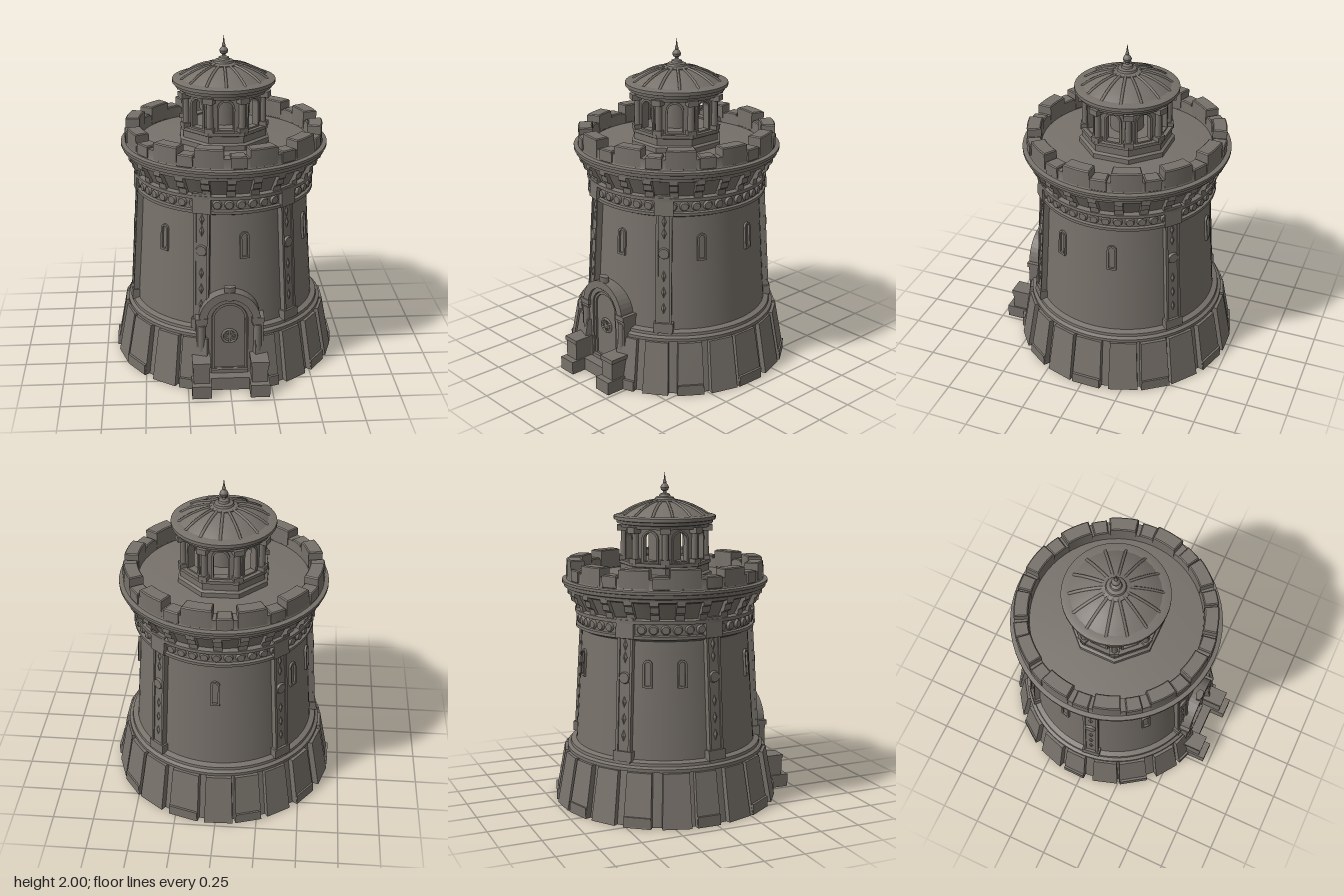
import * as THREE from 'three';
import { toCreasedNormals } from 'three/addons/utils/BufferGeometryUtils.js';

const stone = new THREE.MeshStandardMaterial({ color: 0x77716a });
stone.name = 'weathered stone';
const DEG = Math.PI / 180;

export function createModel() {
  const model = new THREE.Group();
  model.name = 'tower';
  const axis = new THREE.Group();
  axis.name = 'towerBody';
  axis.position.z = -0.04;
  model.add(axis);

  let seed = 7;
  const rand = () => (seed = (seed * 16807) % 2147483647) / 2147483647;

  const add = (name, geo, parent = axis) => {
    const m = new THREE.Mesh(geo, stone);
    m.name = name;
    parent.add(m);
    return m;
  };
  // Turned part from [radius, height] pairs, with crisp edges
  const lathe = (name, pts, segs = 64, start = 0, length = Math.PI * 2, parent = axis) =>
    add(name, toCreasedNormals(new THREE.LatheGeometry(pts.map(p => new THREE.Vector2(...p)), segs, start, length), 0.5), parent);
  // Put a mesh at an angle round the axis (0 = front, 90 = +x), leaning back by tilt
  const place = (m, deg, r, y, tilt = 0) => {
    const a = deg * DEG;
    m.position.set(Math.sin(a) * r, y, Math.cos(a) * r);
    m.rotation.set(-tilt, a, 0, 'YXZ');
    return m;
  };
  const box = (name, w, h, d, x, y, z, parent = axis) => {
    const m = add(name, new THREE.BoxGeometry(w, h, d), parent);
    m.position.set(x, y, z);
    return m;
  };
  // Curved block covering part of a ring
  const arcBlock = (name, r0, r1, y0, y1, mid, span) => {
    const a = (mid - span / 2 - 90) * DEG, b = (mid + span / 2 - 90) * DEG;
    const s = new THREE.Shape();
    s.absarc(0, 0, r1, a, b, false);
    s.absarc(0, 0, r0, b, a, true);
    const g = new THREE.ExtrudeGeometry(s, { depth: y1 - y0 - 0.012, bevelEnabled: true, bevelSize: 0.006, bevelThickness: 0.006, bevelSegments: 1, curveSegments: 6 });
    const m = add(name, g.rotateX(-Math.PI / 2));
    m.position.y = y0 + 0.006;
    return m;
  };
  // Round-headed outline standing on y0, springing at y1
  const archPath = (w, y0, y1, P = THREE.Shape) => {
    const p = new P();
    p.moveTo(-w, y0);
    p.lineTo(w, y0);
    p.lineTo(w, y1);
    p.absarc(0, y1, w, 0, Math.PI, false);
    p.lineTo(-w, y0);
    return p;
  };
  const extrude = (shape, depth) => new THREE.ExtrudeGeometry(shape, { depth, bevelEnabled: false, curveSegments: 10 });

  // Main wall, and the sloping base left open behind the doorway
  lathe('wall', [[0, 0], [0.575, 0], [0.553, 0.36], [0.53, 0.7], [0.506, 1.09]]);
  lathe('base', [[0.5, 0], [0.652, 0], [0.597, 0.315], [0.608, 0.315], [0.608, 0.335], [0.588, 0.345], [0.585, 0.362], [0.553, 0.372]],
    64, 17 * DEG, 326 * DEG);
  const lean = Math.atan(0.06 / 0.32);
  for (let i = 1; i < 20; i++) {
    const w = 0.145 + rand() * 0.05, a = i * 18 + (rand() - 0.5) * 4;
    const g = new THREE.BoxGeometry(w, 0.315, 0.07), p = g.attributes.position;
    for (let k = 0; k < p.count; k++) {
      const up = p.getY(k) > 0;
      if (up) p.setX(k, p.getX(k) * 0.88);
      p.setZ(k, p.getZ(k) + (up ? -0.029 : 0.029));
    }
    g.computeVertexNormals();
    place(add('baseSlab', g), a, 0.612 + rand() * 0.008, 0.158);
    if (i % 2) place(add('baseFoot', new THREE.BoxGeometry(w * 0.96, 0.065, 0.06)), a, 0.652, 0.0325);
  }

  // Ornamented pilasters following the slope of the wall
  const wallLean = Math.atan(0.047 / 0.72);
  for (const a of [-17, 40, 140, 222, 278]) {
    const g = new THREE.Group();
    g.name = 'pilaster';
    axis.add(g);
    place(g, a, 0.532, 0.77, wallLean);
    box('pilasterShaft', 0.09, 0.84, 0.04, 0, 0, 0, g);
    for (const s of [-1, 1]) box('pilasterEdge', 0.015, 0.84, 0.012, s * 0.04, 0, 0.022, g);
    box('pilasterFoot', 0.115, 0.06, 0.06, 0, -0.38, 0.005, g);
    box('pilasterHead', 0.11, 0.12, 0.06, 0, 0.37, 0.01, g);
    const medal = add('pilasterMedallion', new THREE.CylinderGeometry(0.03, 0.036, 0.016, 16).rotateX(Math.PI / 2), g);
    medal.position.set(0, 0.08, 0.026);
    for (const y of [-0.26, -0.16, -0.06, 0.2, 0.27]) {
      const d = add('pilasterCarving', new THREE.OctahedronGeometry(0.02), g);
      d.scale.set(0.7, 1.7, 0.5);
      d.position.set(0, y, 0.02);
    }
  }

  // Slit windows with raised surrounds
  const slit = archPath(0.028, -0.085, 0.05);
  slit.holes.push(archPath(0.016, -0.073, 0.05, THREE.Path));
  const slitGeo = extrude(slit, 0.02);
  for (const a of [-45, 10, 64, 101, 179, 236, 258]) place(add('slitWindow', slitGeo), a, 0.511, 0.88, wallLean);

  // Carved frieze
  lathe('frieze', [[0.5, 1.06], [0.53, 1.075], [0.545, 1.08], [0.545, 1.098], [0.527, 1.102], [0.527, 1.165], [0.548, 1.168], [0.548, 1.188], [0.52, 1.195]]);
  const disc = new THREE.CylinderGeometry(0.022, 0.03, 0.018, 12).rotateX(Math.PI / 2);
  for (let i = 0; i < 48; i++) place(add('friezeDisc', disc), i * 7.5, 0.532, 1.134);

  // Flared gallery, cornice and corbels
  lathe('gallery', [[0.515, 1.19], [0.53, 1.22], [0.565, 1.29], [0.592, 1.3], [0.595, 1.318], [0.613, 1.325], [0.616, 1.345], [0.624, 1.348],
    [0.624, 1.364], [0.59, 1.37], [0, 1.37]]);
  const bracket = new THREE.Shape([[0, 0.02], [0.025, 0], [0.03, 0.04], [0.055, 0.055], [0.062, 0.09], [0.078, 0.1], [0.078, 0.125], [0, 0.125]]
    .map(p => new THREE.Vector2(...p)));
  const corbelGeo = extrude(bracket, 0.05).translate(0, 0, -0.025).rotateY(-Math.PI / 2);
  for (let i = 0; i < 24; i++) place(add('corbel', corbelGeo), i * 15 + 1, 0.515, 1.182);

  // Parapet and merlons
  lathe('parapet', [[0.6, 1.365], [0.592, 1.38], [0.592, 1.43], [0.515, 1.43], [0.51, 1.365]]);
  for (let i = 0; i < 12; i++) {
    arcBlock('merlon', 0.515, 0.588, 1.37, 1.48 + rand() * 0.012, i * 30 + 20 + (rand() - 0.5) * 4, 14 + rand() * 3);
    arcBlock('crenelStone', 0.52, 0.594, 1.37, 1.445, i * 30 + 5, 8);
  }

  // Doorway
  const door = new THREE.Group();
  door.name = 'doorway';
  model.add(door);
  const surround = archPath(0.155, 0.05, 0.43);
  surround.holes.push(archPath(0.108, 0.05, 0.43, THREE.Path));
  add('doorSurround', extrude(surround, 0.13), door).position.z = 0.42;
  const hood = new THREE.Shape();
  hood.absarc(0, 0.43, 0.182, 0, Math.PI, false);
  hood.absarc(0, 0.43, 0.135, Math.PI, 0, true);
  add('doorHood', extrude(hood, 0.14), door).position.z = 0.425;
  add('door', extrude(archPath(0.11, 0.08, 0.43), 0.09), door).position.z = 0.44;
  const trim = archPath(0.104, 0.09, 0.43);
  trim.holes.push(archPath(0.09, 0.105, 0.43, THREE.Path));
  add('doorTrim', extrude(trim, 0.012), door).position.z = 0.53;
  const ring = add('doorRing', new THREE.TorusGeometry(0.042, 0.008, 6, 20), door);
  ring.position.set(0, 0.315, 0.533);
  for (let i = 0; i < 3; i++) box('doorStar', 0.011, 0.085, 0.012, 0, 0.315, 0.534, door).rotation.z = i * 60 * DEG;
  const key = add('keystone', new THREE.CylinderGeometry(0.04, 0.028, 0.09, 6), door);
  key.position.set(0, 0.6, 0.545);
  key.scale.z = 0.6;
  box('doorStep', 0.26, 0.08, 0.19, 0, 0.04, 0.525, door);
  box('doorSill', 0.22, 0.025, 0.1, 0, 0.09, 0.51, door);
  for (const s of [-1, 1]) {
    box('doorJamb', 0.05, 0.4, 0.17, s * 0.175, 0.22, 0.475, door);
    box('jambCapital', 0.075, 0.03, 0.16, s * 0.166, 0.432, 0.49, door);
    box('jambNeck', 0.06, 0.02, 0.16, s * 0.166, 0.405, 0.483, door);
    const col = add('jambColumn', new THREE.CylinderGeometry(0.023, 0.026, 0.2, 12), door);
    col.position.set(s * 0.166, 0.3, 0.55);
    box('stairPier', 0.095, 0.2, 0.2, s * 0.172, 0.1, 0.575, door);
    box('stairPierCap', 0.108, 0.025, 0.21, s * 0.172, 0.2, 0.575, door);
    box('stairPierFoot', 0.115, 0.08, 0.24, s * 0.172, 0.04, 0.595, door);
  }

  // Lantern: octagonal plinth, arcade and core
  const lantern = new THREE.Group();
  lantern.name = 'lantern';
  axis.add(lantern);
  const T8 = Math.PI / 8, full = Math.PI * 2;
  lathe('lanternPlinth', [[0.285, 1.36], [0.285, 1.4], [0.268, 1.41], [0.268, 1.45], [0.278, 1.455], [0.278, 1.475], [0, 1.475]], 8, T8, full, lantern);
  lathe('lanternCore', [[0.1, 1.47], [0.1, 1.7]], 24, 0, full, lantern);
  const panel = new THREE.Shape([[-0.092, 1.47], [0.092, 1.47], [0.092, 1.7], [-0.092, 1.7]].map(p => new THREE.Vector2(...p)));
  panel.holes.push(archPath(0.043, 1.485, 1.615, THREE.Path));
  const frame = archPath(0.053, 1.476, 1.615);
  frame.holes.push(archPath(0.041, 1.485, 1.615, THREE.Path));
  const panelGeo = extrude(panel, 0.035), frameGeo = extrude(frame, 0.045);
  const shaftGeo = new THREE.CylinderGeometry(0.018, 0.021, 0.2, 10);
  for (let i = 0; i < 8; i++) {
    const a = i * 45, c = a + 22.5;
    lantern.add(place(add('arcadePanel', panelGeo), a, 0.19, 0));
    lantern.add(place(add('arcadeFrame', frameGeo), a, 0.19, 0));
    lantern.add(place(add('arcadeColumn', shaftGeo), c, 0.247, 1.58));
    lantern.add(place(add('columnFoot', new THREE.BoxGeometry(0.055, 0.03, 0.055)), c, 0.247, 1.485));
    lantern.add(place(add('columnHead', new THREE.BoxGeometry(0.06, 0.035, 0.07)), c, 0.252, 1.668));
  }

  // Lantern eaves, ribbed dome and finial
  lathe('eaves', [[0.18, 1.675], [0.265, 1.675], [0.27, 1.695], [0.29, 1.7], [0.294, 1.718], [0.308, 1.722], [0.308, 1.742], [0.28, 1.75], [0.24, 1.75]], 48, 0, full, lantern);
  const dome = [[0.265, 1.745], [0.225, 1.772], [0.175, 1.797], [0.12, 1.817], [0.06, 1.83]];
  lathe('dome', dome, 28, 0, full, lantern);
  const ribCurve = new THREE.CatmullRomCurve3(dome.map(([r, y]) => new THREE.Vector3(0, y, r)));
  const ribGeo = new THREE.TubeGeometry(ribCurve, 10, 0.009, 5);
  for (let i = 0; i < 14; i++) {
    const rib = add('domeRib', ribGeo, lantern);
    rib.rotation.y = i * full / 14;
  }
  lathe('finial', [[0.085, 1.815], [0.085, 1.83], [0.06, 1.838], [0.055, 1.85], [0.035, 1.855], [0.03, 1.868], [0.012, 1.875], [0.01, 1.885], [0.022, 1.893],
    [0.026, 1.908], [0.02, 1.922], [0.009, 1.932], [0.011, 1.94], [0.006, 1.955], [0, 2]], 16, 0, full, lantern);
  return model;
}
